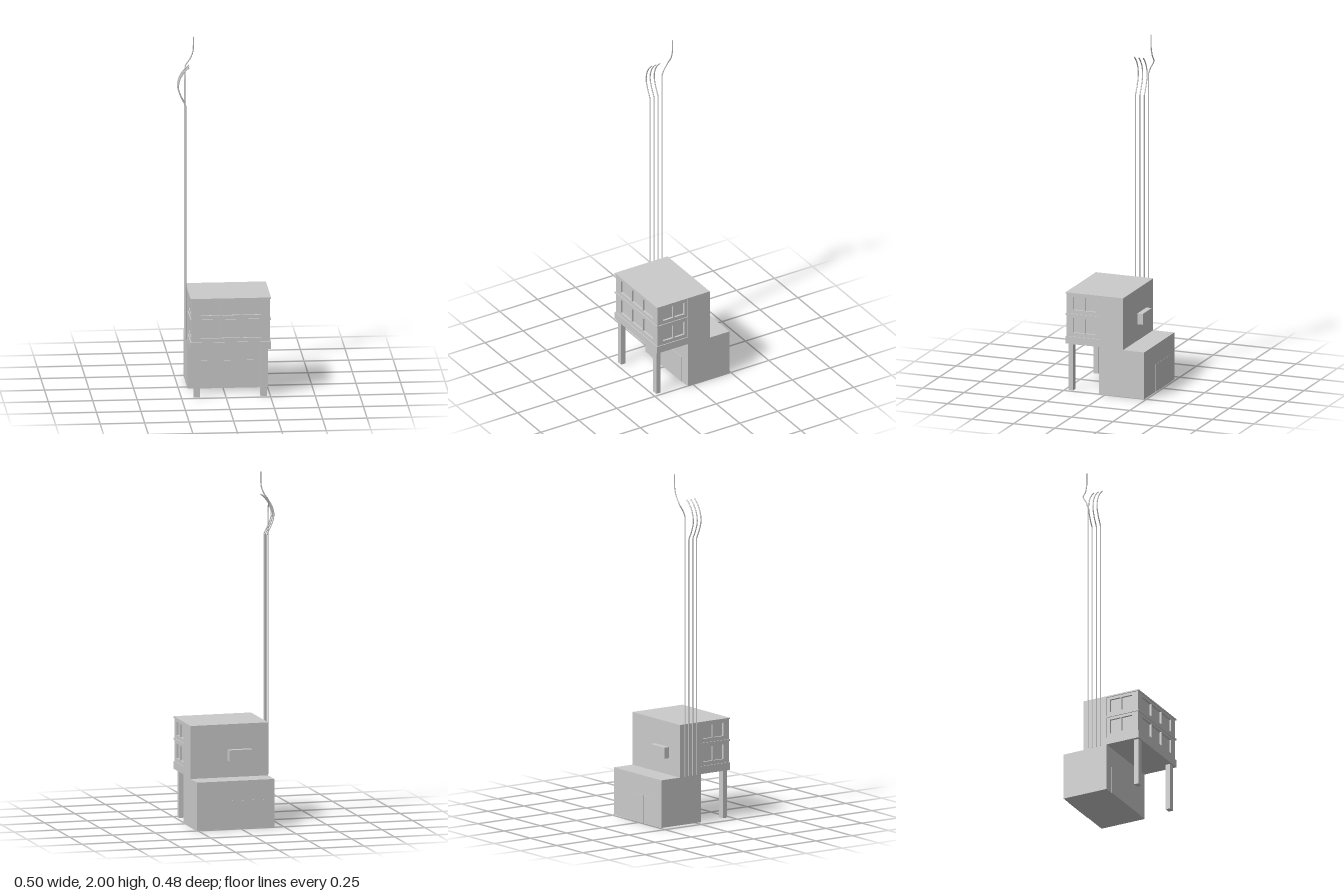
import * as THREE from 'three';

const mat = new THREE.MeshStandardMaterial({ color: 0xcccccc, flatShading: true });
const smooth = new THREE.MeshStandardMaterial({ color: 0xcccccc });

export function createModel() {
  const model = new THREE.Group();
  const add = (name, geo, material = mat) => {
    const mesh = new THREE.Mesh(geo, material);
    mesh.name = name;
    model.add(mesh);
    return mesh;
  };
  // box given by its limits on each axis
  const box = (name, x0, x1, y0, y1, z0, z1) =>
    add(name, new THREE.BoxGeometry(x1 - x0, y1 - y0, z1 - z0)
      .translate((x0 + x1) / 2, (y0 + y1) / 2, (z0 + z1) / 2));

  const L = -0.199, R = 0.253, F = 0.237, B = -0.238, M = 0.035, TOP = 0.573;

  // main volumes
  box('lowerBlock', L, R, 0, 0.272, B, M);
  box('upperBlock', L, R, 0.272, TOP, -0.11, M);
  box('wallUnit', -0.097, 0.037, 0.367, 0.43, -0.142, -0.11);

  // overhanging front storeys: slabs and inner core
  box('floorSlab', L, R, 0.275, 0.319, M, F);
  box('ledge', L, R, 0.441, 0.451, M, F);
  box('roofEdge', L, R, 0.565, TOP, M, F);
  const inset = 0.005, depth = 0.012;
  const c = inset + depth;
  box('storeyCore', L + c, R - c, 0.319, 0.565, M, F - c);

  // wall panel with a row of window openings, outer face towards local +z
  const windowWall = (width, height, windows) => {
    const rect = (P, x0, y0, x1, y1) => {
      const p = new P();
      p.moveTo(x0, y0); p.lineTo(x1, y0); p.lineTo(x1, y1); p.lineTo(x0, y1); p.closePath();
      return p;
    };
    const s = rect(THREE.Shape, 0, 0, width, height);
    for (const [a, b] of windows) s.holes.push(rect(THREE.Path, a, 0.022, b, height - 0.016));
    return new THREE.ExtrudeGeometry(s, { depth, bevelEnabled: false });
  };
  const frontW = R - L - 2 * inset, sideW = F - c - M;
  const frontWindows = [0, 1, 2].map(i => [0.052 + i * 0.117, 0.160 + i * 0.117]);
  const sideWindows = [[0.025, 0.092], [0.1, 0.165]];
  for (const [y0, y1] of [[0.319, 0.441], [0.451, 0.565]]) {
    add('frontWindowWall', windowWall(frontW, y1 - y0, frontWindows))
      .position.set(L + inset, y0, F - c);
    const left = add('leftWindowWall', windowWall(sideW, y1 - y0, sideWindows));
    left.rotation.y = Math.PI / 2;
    left.position.set(R - c, y0, F - c);
    const right = add('rightWindowWall', windowWall(sideW, y1 - y0,
      sideWindows.map(([a, b]) => [sideW - b, sideW - a])));
    right.rotation.y = -Math.PI / 2;
    right.position.set(L + c, y0, M);
  }

  // legs and door panels
  for (const x of [-0.163, 0.213]) box('frontLeg', x - 0.018, x + 0.018, 0, 0.275, 0.2, 0.228);
  box('frontDoor', -0.14, 0.19, 0, 0.16, M, M + 0.003);
  box('backDoor', -0.14, -0.031, 0, 0.16, B - 0.002, B);
  box('backDoor', -0.027, 0.082, 0, 0.16, B - 0.002, B);

  // tall thin pipes beside the right wall
  const pipe = (name, points) => {
    const path = new THREE.CurvePath();
    const v = points.map(p => new THREE.Vector3(...p));
    path.add(new THREE.LineCurve3(v[0], v[1]));
    path.add(new THREE.CatmullRomCurve3(v.slice(1)));
    const r = 0.0035;
    add(name, new THREE.TubeGeometry(path, 120, r, 8), smooth);
    // end caps
    add(name + 'Base', new THREE.CircleGeometry(r, 8).rotateX(Math.PI / 2), smooth).position.copy(v[0]);
    const cap = add(name + 'Tip', new THREE.CircleGeometry(r, 8), smooth);
    const n = v.length;
    cap.position.copy(v[n - 1]);
    cap.quaternion.setFromUnitVectors(new THREE.Vector3(0, 0, 1), path.getTangent(1));
  };
  for (const z of [0, -0.026, -0.053]) {
    pipe('hookedPipe', [[-0.206, 0.275, z], [-0.206, 1.63, z], [-0.232, 1.68, z],
      [-0.248, 1.735, z], [-0.237, 1.79, z], [-0.206, 1.835, z], [-0.186, 1.852, z]]);
  }
  pipe('tallPipe', [[-0.206, 0.275, -0.079], [-0.206, 1.76, -0.079], [-0.204, 1.795, -0.092],
    [-0.199, 1.835, -0.114], [-0.172, 1.875, -0.115], [-0.157, 1.915, -0.115],
    [-0.154, 1.95, -0.115], [-0.154, 2, -0.115]]);

  return model;
}
